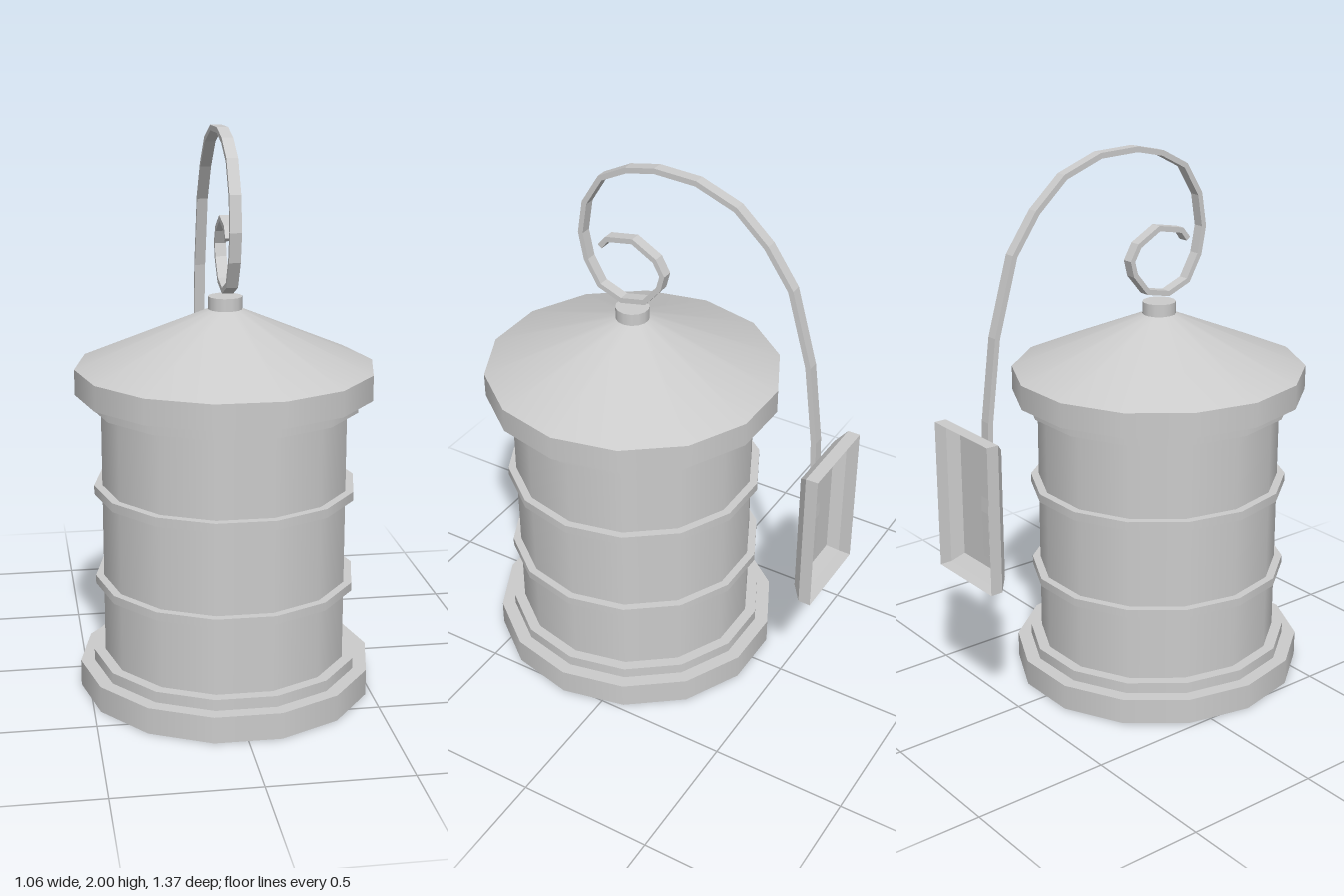
import * as THREE from 'three';

const GREY = { color: 0xcccccc };
const SIDES = 14;
const CORNERS = [[-1, -1], [1, -1], [1, 1], [-1, 1]];

// Joins four-cornered sections into a faceted skin, with optional end caps
function loft(sections, capStart, capEnd) {
  const pos = [];
  const quad = (a, b, c, d) => [a, b, c, a, c, d].forEach((p) => pos.push(p.x, p.y, p.z));
  for (let i = 0; i < sections.length - 1; i++) {
    const s = sections[i], e = sections[i + 1];
    for (let j = 0; j < 4; j++) {
      const k = (j + 1) % 4;
      quad(s[j], s[k], e[k], e[j]);
    }
  }
  const first = sections[0], last = sections[sections.length - 1];
  if (capStart) quad(first[3], first[2], first[1], first[0]);
  if (capEnd) quad(last[0], last[1], last[2], last[3]);
  const geo = new THREE.BufferGeometry();
  geo.setAttribute('position', new THREE.Float32BufferAttribute(pos, 3));
  geo.computeVertexNormals();
  return geo;
}

export function createModel() {
  const model = new THREE.Group();
  const smooth = new THREE.MeshStandardMaterial(GREY);
  const faceted = new THREE.MeshStandardMaterial({ ...GREY, side: THREE.DoubleSide });
  const add = (parent, name, geo, mat) => {
    const mesh = new THREE.Mesh(geo, mat);
    mesh.name = name;
    parent.add(mesh);
    return mesh;
  };

  // Lantern: stacked fourteen-sided drums, slightly deeper than wide
  const lantern = new THREE.Group();
  lantern.name = 'lantern';
  lantern.position.z = 0.155;
  lantern.scale.z = 1.025;
  model.add(lantern);
  const drums = [
    // name, bottom y, top y, bottom radius, top radius
    ['base', 0, 0.095, 0.53, 0.53],
    ['lowerStep', 0.095, 0.135, 0.48, 0.48],
    ['body', 0.13, 1.055, 0.44, 0.44],
    ['lowerBand', 0.393, 0.423, 0.469, 0.469],
    ['upperBand', 0.73, 0.762, 0.469, 0.469],
    ['upperStep', 1.05, 1.095, 0.48, 0.48],
    ['roofRim', 1.095, 1.185, 0.53, 0.53],
    ['roof', 1.185, 1.385, 0.53, 0.06],
    ['cap', 1.38, 1.43, 0.06, 0.06],
  ];
  for (const [name, y0, y1, r0, r1] of drums) {
    const geo = new THREE.CylinderGeometry(r1, r0, y1 - y0, SIDES);
    geo.rotateY(Math.PI / 2);
    add(lantern, name, geo, smooth).position.y = (y0 + y1) / 2;
  }

  // Wall plate: a bevelled pan, open at the back
  const pan = [[-0.69, 0], [-0.645, 0], [-0.61, 0.035]].map(([z, inset]) =>
    CORNERS.map(([sx, sy]) => new THREE.Vector3(
      0.027 + sx * (0.163 - inset), 0.83 + sy * (0.27 - inset), z)));
  add(model, 'wallPlate', loft(pan, false, true), faceted);

  // Scroll arm: flat strip following a curl, given as z and y
  const path = [
    [-0.6, 0.63], [-0.602, 0.8], [-0.59, 1.13], [-0.553, 1.42], [-0.475, 1.69],
    [-0.38, 1.825], [-0.263, 1.93], [-0.113, 1.985], [0.045, 1.99], [0.157, 1.965],
    [0.262, 1.91], [0.33, 1.8], [0.35, 1.68], [0.33, 1.58], [0.278, 1.49],
    [0.188, 1.455], [0.093, 1.475], [0.034, 1.545], [0.02, 1.597], [0.05, 1.65],
    [0.14, 1.7], [0.245, 1.68], [0.273, 1.645],
  ].map(([z, y]) => new THREE.Vector2(z, y));
  const n = path.length - 1;
  const strip = path.map((p, i) => {
    const t = path[Math.min(i + 1, n)].clone().sub(path[Math.max(i - 1, 0)]).normalize();
    const x = 0.01 - 0.01 * i / n;
    return CORNERS.map(([u, v]) => new THREE.Vector3(
      x + u * 0.02, p.y + v * 0.01 * t.x, p.x - v * 0.01 * t.y));
  });
  add(model, 'scrollArm', loft(strip, true, true), faceted);

  return model;
}
